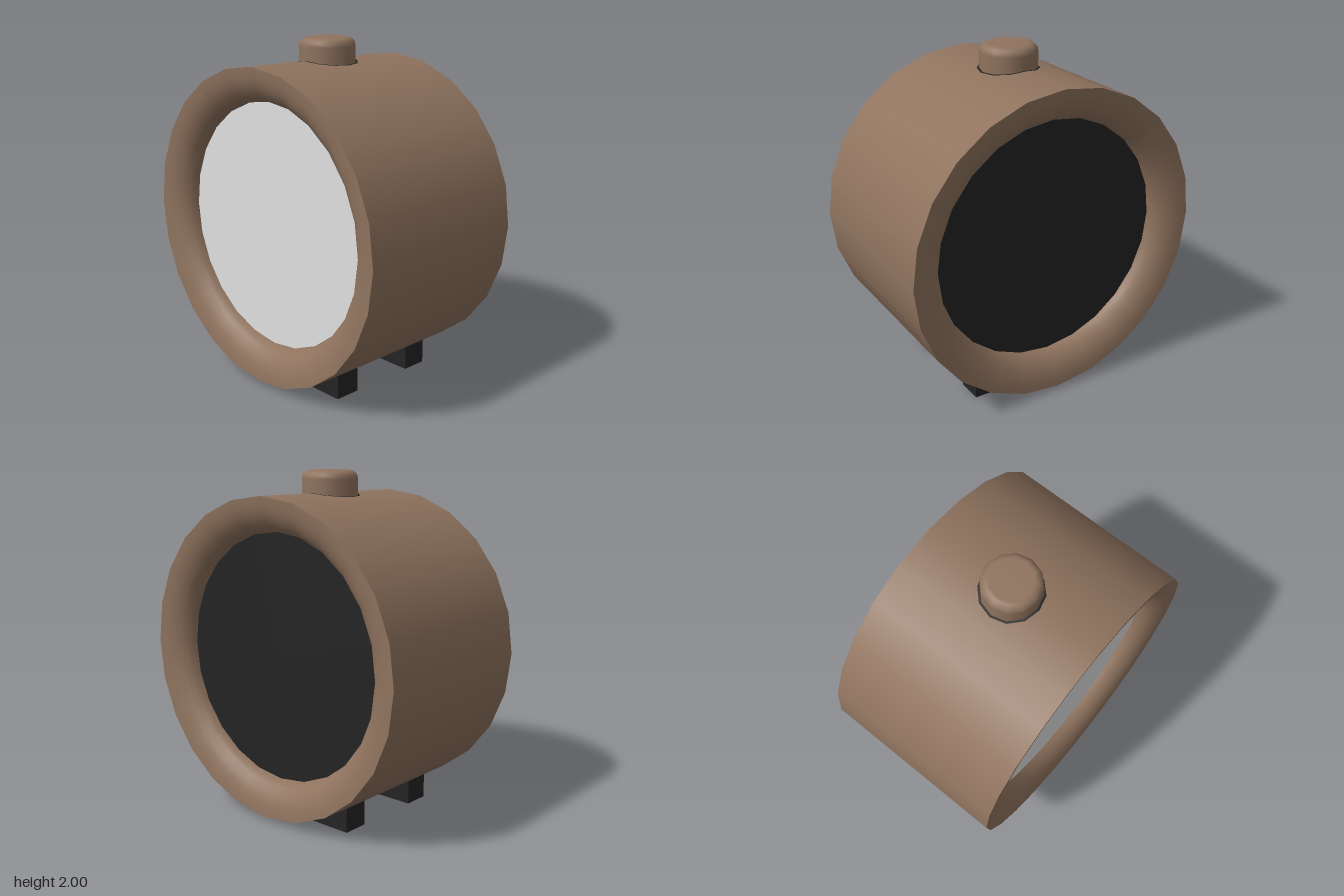
import * as THREE from 'three';

const brown = new THREE.MeshStandardMaterial({ name: 'brown body', color: 0x8f735e });
const white = new THREE.MeshStandardMaterial({ name: 'pale face', color: 0xe0e0e0 });
const black = new THREE.MeshStandardMaterial({ name: 'black trim', color: 0x242424 });

const R = 0.925, RIN = 0.722, HALF = 0.56, INNER_Z = 0.42, CY = 0.945, SIDES = 24;

function add(parent, name, geometry, material, x = 0, y = 0, z = 0) {
  const mesh = new THREE.Mesh(geometry, material);
  mesh.name = name;
  mesh.position.set(x, y, z);
  parent.add(mesh);
  return mesh;
}

const lathe = (points, sides) =>
  new THREE.LatheGeometry(points.map(([r, y]) => new THREE.Vector2(r, y)), sides);

export function createModel() {
  const model = new THREE.Group();
  model.name = 'roundCase';

  // Drum, built along y and turned so its axis runs front to back
  const drum = new THREE.Group();
  drum.name = 'drum';
  drum.position.y = CY;
  drum.rotation.x = Math.PI / 2;
  model.add(drum);
  add(drum, 'barrel', lathe([[R, -HALF], [R, HALF]], SIDES), brown);

  // Rounded lips rolling inward to the recessed discs
  const lip = [];
  for (let i = 0; i <= 6; i++) {
    const t = (i / 6) * Math.PI / 2;
    lip.push([R - (R - RIN) * Math.sin(t), INNER_Z + (HALF - INNER_Z) * Math.cos(t)]);
  }
  add(drum, 'frontLip', lathe(lip, SIDES), brown);
  add(drum, 'backLip', lathe(lip.map(([r, y]) => [r, -y]).reverse(), SIDES), brown);

  // Recessed discs
  const disc = new THREE.CylinderGeometry(RIN, RIN, 0.04, SIDES);
  add(drum, 'frontDisc', disc, white, 0, INNER_Z - 0.008, 0);
  add(drum, 'backDisc', disc, black, 0, -INNER_Z + 0.008, 0);

  // Top button with a rounded edge
  const button = [[0.168, 1.8], [0.168, 1.95]];
  for (let i = 1; i <= 4; i++) {
    const t = (i / 4) * Math.PI / 2;
    button.push([0.118 + 0.05 * Math.cos(t), 1.95 + 0.05 * Math.sin(t)]);
  }
  button.push([0, 2]);
  add(model, 'topButton', lathe(button, 12), brown);

  // Dark gap around the button, laid on the drum's two top facets
  const gap = new THREE.RingGeometry(0.16, 0.181, 12).rotateX(-Math.PI / 2);
  const p = gap.attributes.position;
  for (let i = 0; i < p.count; i++) {
    p.setY(i, CY + R + 0.003 - Math.abs(p.getX(i)) * Math.tan(Math.PI / SIDES));
  }
  gap.computeVertexNormals();
  add(model, 'buttonGap', gap, black);

  // Two bars to stand on
  const bar = new THREE.BoxGeometry(0.93, 0.145, 0.158);
  add(model, 'frontFoot', bar, black, 0, 0.0725, 0.276);
  add(model, 'backFoot', bar, black, 0, 0.0725, -0.299);

  return model;
}
